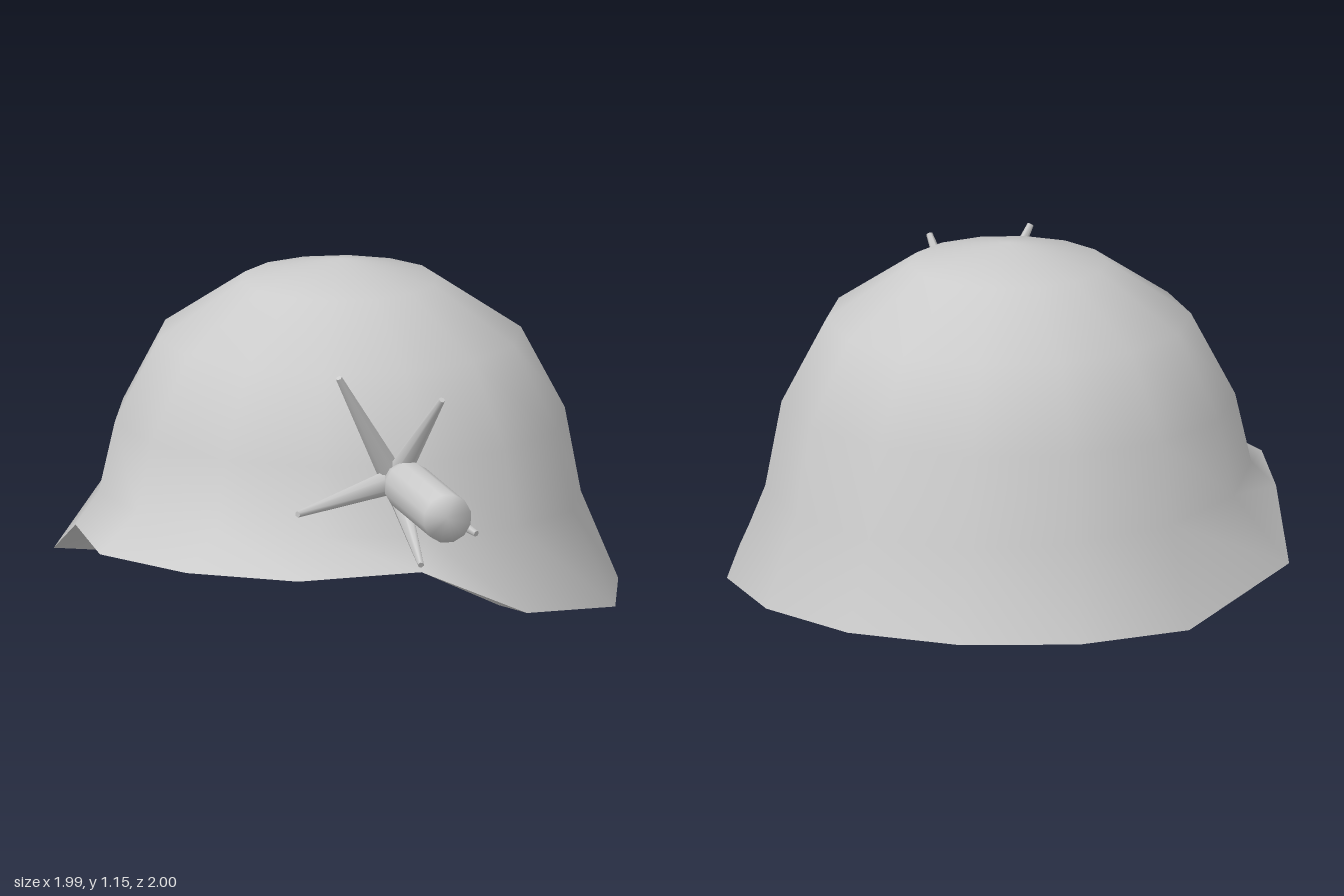
import * as THREE from 'three';
import { mergeVertices } from 'three/addons/utils/BufferGeometryUtils.js';

const SIDES = 14;
const CX = -0.067, CZ = -0.05;

// Half outline of the flared rim from back to front: [x offset, y, z]
const RIM = [
  [0, 0, -1], [0.4, 0, -0.91], [0.73, 0, -0.67], [0.93, 0, -0.31],
  [0.93, 0.1, 0.28], [0.68, 0.27, 0.56], [0.39, 0.27, 0.89], [0, 0.27, 0.975],
];

const material = () => new THREE.MeshStandardMaterial({ color: 0xcccccc, side: THREE.DoubleSide });

// Round dome ring; its height may differ between back and front
function domeRing(r, yBack, yFront = yBack) {
  return Array.from({ length: SIDES }, (_, i) => {
    const a = (i / SIDES) * Math.PI * 2;
    const t = (1 - Math.cos(a)) / 2;
    return [CX + r * Math.sin(a), yBack + (yFront - yBack) * t, CZ - r * Math.cos(a)];
  });
}

// Mirrored rim ring, scaled towards the centre
function rimRing(scale = 1) {
  return Array.from({ length: SIDES }, (_, i) => {
    const [x, y, z] = RIM[i <= 7 ? i : SIDES - i];
    return [CX + (i <= 7 ? x : -x) * scale, y, CZ + (z - CZ) * scale];
  });
}

// Skin a stack of closed rings
function loft(name, rings) {
  const index = [];
  for (let r = 0; r < rings.length - 1; r++) {
    for (let i = 0; i < SIDES; i++) {
      const j = (i + 1) % SIDES;
      const a = r * SIDES + i, b = r * SIDES + j;
      index.push(a, b, a + SIDES, b, b + SIDES, a + SIDES);
    }
  }
  let geo = new THREE.BufferGeometry();
  geo.setAttribute('position', new THREE.Float32BufferAttribute(rings.flat(2), 3));
  geo.setIndex(index);
  geo = mergeVertices(geo, 1e-4);
  geo.computeVertexNormals();
  const mesh = new THREE.Mesh(geo, material());
  mesh.name = name;
  return mesh;
}

// Place a y-aligned geometry so that it runs along a direction
function aimed(name, geo, centre, dir) {
  const mesh = new THREE.Mesh(geo, material());
  mesh.name = name;
  mesh.position.copy(centre);
  mesh.quaternion.setFromUnitVectors(new THREE.Vector3(0, 1, 0), dir);
  return mesh;
}

export function createModel() {
  const model = new THREE.Group();
  model.name = 'piercedHelmet';

  // Helmet: outer shell with flared rim, and a shallow recess underneath
  const helmet = new THREE.Group();
  helmet.name = 'helmet';
  helmet.add(
    loft('outerShell', [
      domeRing(0, 1.155), domeRing(0.335, 1.085), domeRing(0.62, 0.895),
      domeRing(0.77, 0.61), domeRing(0.825, 0.3, 0.385), rimRing(),
    ]),
    loft('underside', [
      rimRing(), rimRing(0.85), domeRing(0.76, 0.225, 0.32), domeRing(0, 0.275),
    ]),
  );
  model.add(helmet);

  // Bullet: tapered nose in the shell, straight body, softly shaded end
  const nose = new THREE.Vector3(0.48, 0.575, 0.5);
  const axis = new THREE.Vector3(0.72, 0, 0.69).normalize();
  const profile = [[0, 0], [0.035, 0.01], [0.06, 0.06], [0.085, 0.15], [0.085, 0.635], [0, 0.635]]
    .map(([r, y]) => new THREE.Vector2(r, y));
  model.add(aimed('bullet', new THREE.LatheGeometry(profile, 12), nose, axis));

  // Torn metal splinters around the hole
  const splinters = new THREE.Group();
  splinters.name = 'splinters';
  const root = new THREE.Vector3(0.47, 0.56, 0.5);
  const tips = [
    [0.4, 0.96, 0.75], [0.735, 0.9, 0.63], [0.87, 0.45, 0.63],
    [0.77, 0.37, 0.83], [0.385, 0.535, 1.0],
  ];
  for (const t of tips) {
    const tip = new THREE.Vector3(...t);
    const dir = tip.clone().sub(root);
    const length = dir.length();
    const geo = new THREE.CylinderGeometry(0.011, 0.045, length, 6);
    splinters.add(aimed('splinter', geo, root.clone().lerp(tip, 0.5), dir.normalize()));
  }
  model.add(splinters);

  return model;
}
